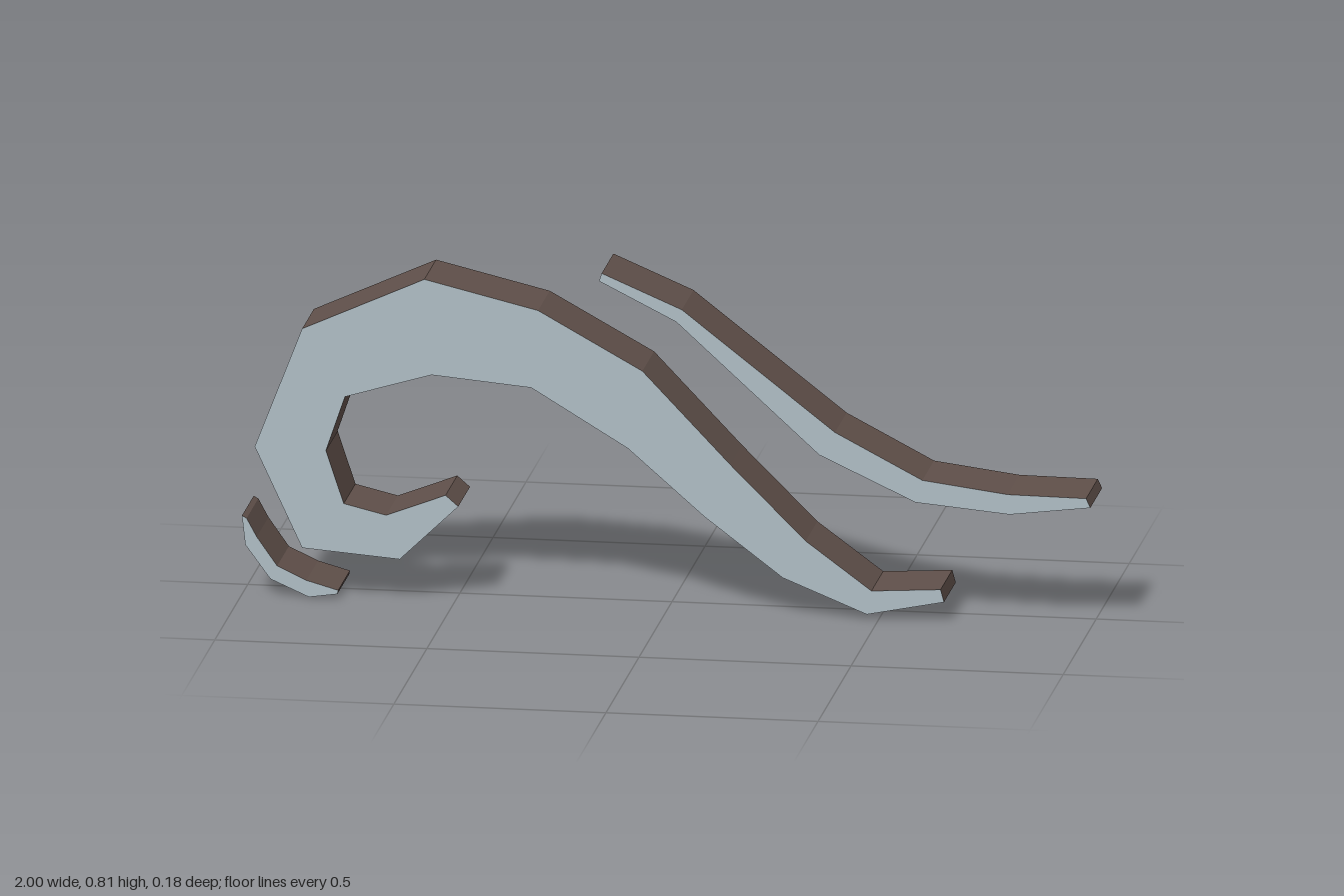
import * as THREE from 'three';

const DEPTH = 0.178;

// Flat cap faces and the extruded edge band
const capGrey = new THREE.MeshStandardMaterial({ color: 0xb0bec5 });
capGrey.name = 'paleGrey';
const edgeBrown = new THREE.MeshStandardMaterial({ color: 0x60504a });
edgeBrown.name = 'darkBrown';

// Extrude an angular outline, centred on z = 0
function slab(name, outline) {
  const shape = new THREE.Shape(outline.map(([x, y]) => new THREE.Vector2(x, y)));
  const geometry = new THREE.ExtrudeGeometry(shape, { depth: DEPTH, bevelEnabled: false });
  geometry.translate(0, 0, -DEPTH / 2);
  const mesh = new THREE.Mesh(geometry, [capGrey, edgeBrown]);
  mesh.name = name;
  return mesh;
}

export function createModel() {
  const group = new THREE.Group();
  group.name = 'scrollOrnament';

  // Main wave: hooked curl on the right, sweeping down to the left foot
  group.add(slab('mainScroll', [
    [-0.49, 0.233], [-0.52, 0.259], [-0.66, 0.205], [-0.76, 0.229],
    [-0.802, 0.355], [-0.757, 0.487], [-0.553, 0.548], [-0.318, 0.527],
    [-0.09, 0.39], [0.09, 0.233], [0.275, 0.093], [0.473, 0.013],
    [0.655, 0.05], [0.647, 0.08], [0.484, 0.07], [0.329, 0.184],
    [0.152, 0.36], [-0.056, 0.578], [-0.302, 0.714], [-0.57, 0.778],
    [-0.858, 0.647], [-0.97, 0.358], [-0.858, 0.118], [-0.628, 0.1],
  ]));

  // Slender ribbon following the slope
  group.add(slab('upperRibbon', [
    [-0.152, 0.81], [0.037, 0.73], [0.398, 0.449], [0.604, 0.342],
    [0.805, 0.316], [0.99, 0.314], [1, 0.292], [0.81, 0.268],
    [0.588, 0.288], [0.361, 0.393], [0.024, 0.7], [-0.158, 0.791],
  ]));

  // Small crescent below the curl
  group.add(slab('lowerCrescent', [
    [-1, 0.19], [-0.989, 0.184], [-0.965, 0.14], [-0.917, 0.072],
    [-0.848, 0.04], [-0.773, 0.019], [-0.775, 0.01], [-0.842, 0],
    [-0.933, 0.04], [-0.992, 0.12],
  ]));

  return group;
}
